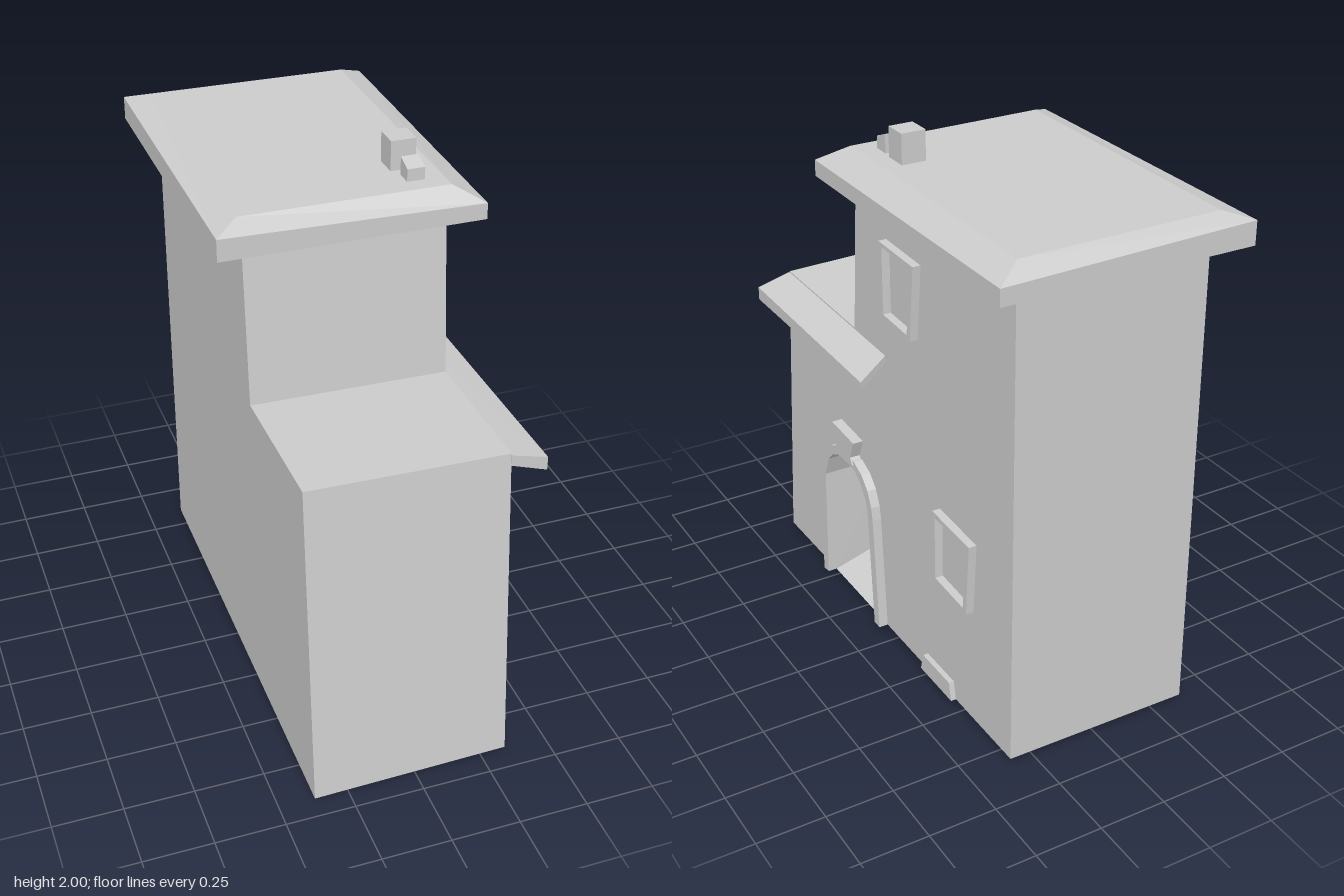
import * as THREE from 'three';

const material = new THREE.MeshStandardMaterial({ color: 0xcccccc, flatShading: true, side: THREE.DoubleSide });
const WALL_L = -0.37, WALL_R = 0.34;

function named(name, geometry) {
  const mesh = new THREE.Mesh(geometry, material);
  mesh.name = name;
  return mesh;
}

// Skin between successive cross-sections; optional closing of the loops and end caps
function loft(rings, closed = true, caps = closed) {
  const pos = [];
  const tri = (a, b, c) => pos.push(...a, ...b, ...c);
  const n = rings[0].length;
  for (let i = 0; i < rings.length - 1; i++) {
    const a = rings[i], b = rings[i + 1];
    for (let j = 0; j < (closed ? n : n - 1); j++) {
      const k = (j + 1) % n;
      tri(a[j], b[j], b[k]);
      tri(a[j], b[k], a[k]);
    }
  }
  if (caps) {
    const a = rings[0], b = rings[rings.length - 1];
    for (let j = 1; j < n - 1; j++) {
      tri(a[0], a[j], a[j + 1]);
      tri(b[0], b[j + 1], b[j]);
    }
  }
  const g = new THREE.BufferGeometry();
  g.setAttribute('position', new THREE.Float32BufferAttribute(pos, 3));
  g.computeVertexNormals();
  return g;
}

// Outlines are [z, y] pairs seen from the +x side
const at = (x, outline) => outline.map(([z, y]) => [x, y, z]);
const toVec = (outline) => outline.map(([z, y]) => new THREE.Vector2(-z, y));

function sheet(x, outline) {
  return new THREE.ShapeGeometry(new THREE.Shape(toVec(outline))).rotateY(Math.PI / 2).translate(x, 0, 0);
}

function relief(outline, depth, hole) {
  const shape = new THREE.Shape(toVec(outline));
  if (hole) shape.holes.push(new THREE.Path(toVec(hole)));
  return new THREE.ExtrudeGeometry(shape, { depth, bevelEnabled: false })
    .rotateY(Math.PI / 2).translate(WALL_R, 0, 0);
}

// Four corners, starting right front and going round by the left
const rect = (l, r, f, b, yRF, yLF, yLB, yRB) => [[r, yRF, f], [l, yLF, f], [l, yLB, b], [r, yRB, b]];

export function createModel() {
  const model = new THREE.Group();
  const add = (name, geometry) => model.add(named(name, geometry));

  // Walls: stepped, leaning profile, open underneath
  const left = [[0.92, 0.0], [0.815, 1.22], [0.265, 1.205], [0.215, 1.8], [-0.83, 1.8], [-0.83, 0.015]];
  const right = [[0.92, 0.015], [0.815, 1.205], [0.265, 1.195], [0.215, 1.8], [-0.83, 1.8], [-0.83, 0.02]];
  const arch = [[0.51, 0.02], [0.495, 0.48], [0.46, 0.565], [0.42, 0.605], [0.375, 0.625], [0.3, 0.632],
    [0.235, 0.622], [0.19, 0.59], [0.155, 0.545], [0.14, 0.5], [0.11, 0.02]];
  add('outerWalls', loft([at(WALL_L, left), at(WALL_R, right)], false));
  add('leftWall', sheet(WALL_L, left));
  add('rightWall', sheet(WALL_R, [...right, ...[...arch].reverse()]));

  // Doorway recess, narrowing inward over a rising floor
  const archBack = [[0.51, 0.09], [0.495, 0.48], [0.46, 0.565], [0.42, 0.605], [0.385, 0.62], [0.35, 0.617],
    [0.325, 0.605], [0.3, 0.575], [0.28, 0.54], [0.262, 0.5], [0.23, 0.09]];
  const recessX = 0.1;
  add('doorRecess', loft([at(WALL_R, arch), at(recessX, archBack)], true, false));
  add('doorBack', sheet(recessX, archBack));

  // Door surround and keystone
  const archOuter = [[0.55, 0.015], [0.532, 0.48], [0.515, 0.54], [0.485, 0.59], [0.44, 0.635], [0.38, 0.66],
    [0.24, 0.66], [0.18, 0.635], [0.135, 0.59], [0.108, 0.53], [0.1, 0.48], [0.07, 0.02]];
  add('doorSurround', relief([...archOuter, ...[...arch].reverse()], 0.035));
  add('keystone', relief([[0.405, 0.755], [0.23, 0.745], [0.262, 0.67], [0.245, 0.645], [0.3, 0.633],
    [0.375, 0.645], [0.38, 0.67]], 0.04));

  // Crooked window frames
  add('upperWindowFrame', relief(
    [[0, 1.635], [-0.24, 1.63], [-0.212, 1.35], [0, 1.345]], 0.03,
    [[-0.022, 1.62], [-0.218, 1.617], [-0.19, 1.365], [-0.022, 1.372]]));
  add('lowerWindowFrame', relief(
    [[-0.35, 0.765], [-0.6, 0.755], [-0.58, 0.475], [-0.35, 0.48]], 0.03,
    [[-0.367, 0.745], [-0.58, 0.74], [-0.558, 0.49], [-0.367, 0.5]]));

  // Low block at the foot of the wall
  add('footBlock', relief([[-0.23, 0.02], [-0.25, 0.09], [-0.44, 0.09], [-0.455, 0.02]], 0.02));

  // Awning over the door, sloping outward
  add('awning', loft([
    rect(WALL_R, 0.47, 0.82, -0.035, 1.115, 1.16, 1.155, 1.11),
    rect(WALL_R, 0.47, 0.82, -0.035, 1.165, 1.2, 1.185, 1.143),
  ].map((ring) => ring.map(([x, y, z]) => [x, y, x === WALL_R && z < 0 ? 0.03 : z]))));

  // Main roof: slab with a bevelled rim
  add('roof', loft([
    rect(-0.475, 0.45, 0.3, -0.92, 1.782, 1.782, 1.775, 1.78),
    rect(-0.475, 0.45, 0.3, -0.92, 1.84, 1.862, 1.86, 1.84),
    rect(-0.388, 0.35, 0.23, -0.85, 1.893, 1.895, 1.887, 1.885),
  ]));

  // Chimney and its small slanted neighbour
  add('chimney', loft([
    rect(0.195, 0.285, 0.07, -0.02, 1.88, 1.88, 1.88, 1.88),
    rect(0.195, 0.285, 0.07, -0.02, 2, 2, 2, 2),
  ]));
  add('smallChimney', loft([
    rect(0.217, 0.28, 0.165, 0.105, 1.88, 1.88, 1.88, 1.88),
    rect(0.217, 0.28, 0.165, 0.105, 1.937, 1.937, 1.958, 1.958),
  ]));

  return model;
}
